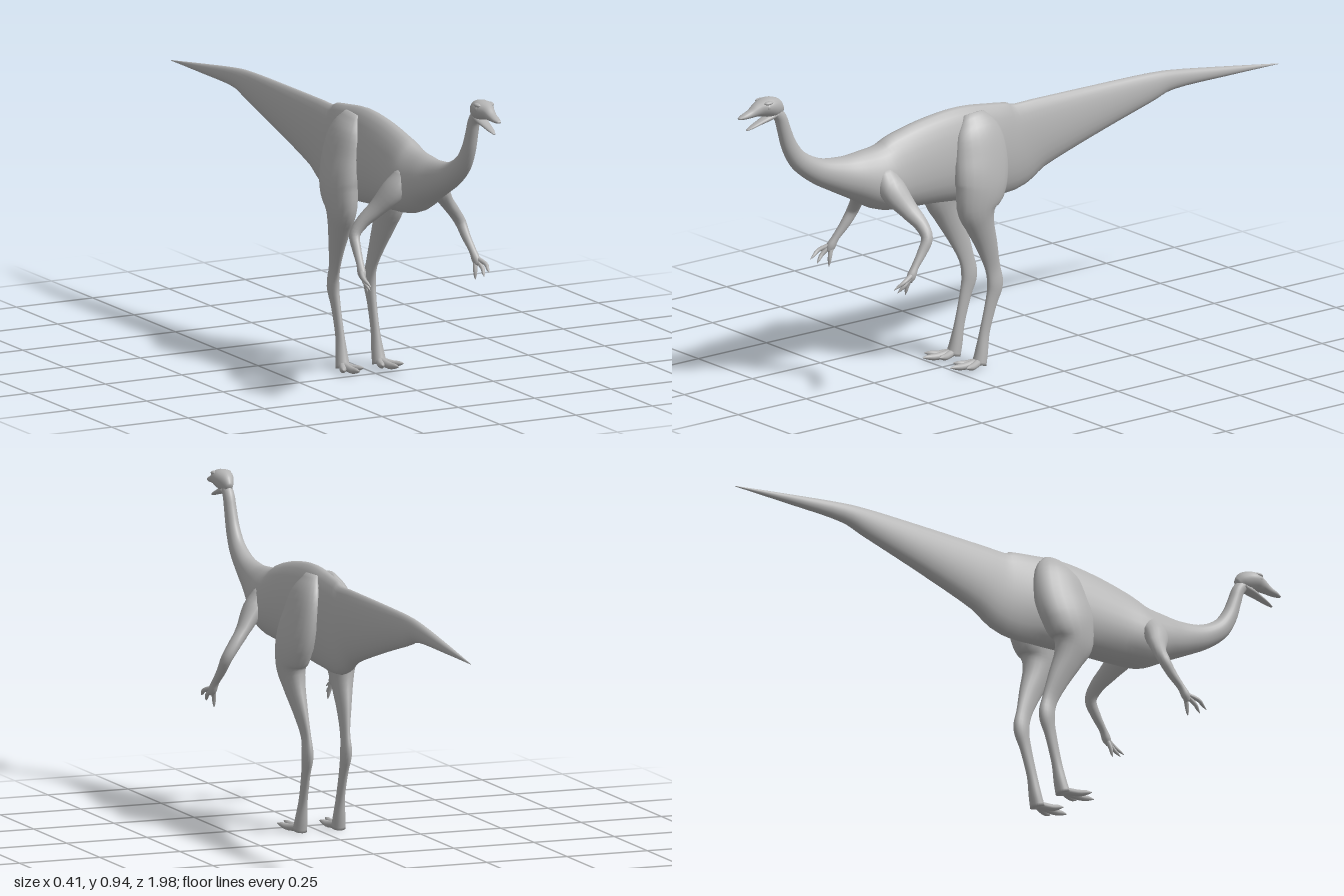
import * as THREE from 'three';

const skin = new THREE.MeshStandardMaterial({ color: 0xb4b4b4 });
skin.name = 'grey skin';

// Smooth body sweep. Each section is [x, y, z, half width, half depth, taper],
// where taper narrows the upper (or front) side of the ring.
function sweep(name, sections, sides = 20, steps = 4) {
  const path = new THREE.CatmullRomCurve3(
    sections.map(s => new THREE.Vector3(s[0], s[1], s[2])), false, 'catmullrom', 0.5);
  const size = new THREE.CatmullRomCurve3(
    sections.map(s => new THREE.Vector3(s[3], s[4], s[5] ?? 0)), false, 'catmullrom', 0.5);
  const count = (sections.length - 1) * steps;
  const pos = [], index = [];
  for (let i = 0; i <= count; i++) {
    const t = i / count;
    const p = path.getPoint(t), r = size.getPoint(t), dir = path.getTangent(t);
    const side = new THREE.Vector3(1, 0, 0).addScaledVector(dir, -dir.x).normalize();
    const up = new THREE.Vector3().crossVectors(dir, side);
    for (let j = 0; j < sides; j++) {
      const a = (j / sides) * Math.PI * 2;
      const w = Math.max(r.x, 0.0005) * Math.cos(a) * (1 - r.z * Math.sin(a));
      const h = Math.max(r.y, 0.0005) * Math.sin(a);
      const v = p.clone().addScaledVector(side, w).addScaledVector(up, h);
      pos.push(v.x, v.y, v.z);
    }
    if (i === count) continue;
    for (let j = 0; j < sides; j++) {
      const a = i * sides + j, b = i * sides + (j + 1) % sides;
      index.push(a, b, b + sides, a, b + sides, a + sides);
    }
  }
  // close both ends
  for (const [t, ring] of [[0, 0], [1, count * sides]]) {
    const p = path.getPoint(t), c = pos.length / 3;
    pos.push(p.x, p.y, p.z);
    for (let j = 0; j < sides; j++) {
      const a = ring + j, b = ring + (j + 1) % sides;
      if (t === 0) index.push(c, b, a); else index.push(c, a, b);
    }
  }
  const geo = new THREE.BufferGeometry();
  geo.setAttribute('position', new THREE.Float32BufferAttribute(pos, 3));
  geo.setIndex(index);
  geo.computeVertexNormals();
  const mesh = new THREE.Mesh(geo, skin);
  mesh.name = name;
  return mesh;
}

function ball(name, x, y, z, rx, ry, rz) {
  const mesh = new THREE.Mesh(new THREE.SphereGeometry(1, 16, 12), skin);
  mesh.position.set(x, y, z);
  mesh.scale.set(rx, ry, rz);
  mesh.name = name;
  return mesh;
}

// Tapering toe or finger with a pointed claw
function digit(name, from, mid, tip, r) {
  return sweep(name, [
    [...from, r, r], [...mid, r * 0.85, r * 0.85],
    [...mid.map((m, i) => m + (tip[i] - m) * 0.6), r * 0.6, r * 0.6],
    [...tip, 0.0008, 0.0008],
  ], 10, 3);
}

function makeHead() {
  const head = new THREE.Group();
  head.name = 'head';
  head.add(sweep('skull', [
    [0, 0.888, 0.842, 0.010, 0.014],
    [0, 0.900, 0.862, 0.022, 0.027],
    [0, 0.907, 0.885, 0.030, 0.030, -0.12],
    [0, 0.909, 0.908, 0.030, 0.027, -0.15],
    [0, 0.907, 0.930, 0.021, 0.021],
    [0, 0.899, 0.955, 0.015, 0.013],
    [0, 0.894, 0.980, 0.012, 0.008],
    [0, 0.891, 0.998, 0.005, 0.003],
  ]));
  head.add(sweep('lowerJaw', [
    [0, 0.884, 0.862, 0.017, 0.012],
    [0, 0.876, 0.890, 0.018, 0.010],
    [0, 0.867, 0.920, 0.014, 0.007],
    [0, 0.858, 0.948, 0.010, 0.005],
    [0, 0.851, 0.968, 0.004, 0.002],
  ], 14));
  for (const s of [1, -1]) {
    head.add(ball('eye', s * 0.025, 0.914, 0.906, 0.006, 0.008, 0.009));
    head.add(ball('brow', s * 0.021, 0.926, 0.904, 0.009, 0.006, 0.016));
  }
  return head;
}

function makeLeg(s) {
  const leg = new THREE.Group();
  leg.name = s > 0 ? 'leftLeg' : 'rightLeg';
  leg.add(sweep('thighAndShin', [
    [s * 0.025, 0.755, 0.155, 0.012, 0.035],
    [s * 0.044, 0.700, 0.152, 0.034, 0.078],
    [s * 0.060, 0.620, 0.155, 0.045, 0.094],
    [s * 0.075, 0.550, 0.168, 0.045, 0.090],
    [s * 0.078, 0.490, 0.184, 0.040, 0.068],
    [s * 0.075, 0.435, 0.170, 0.031, 0.048],
    [s * 0.068, 0.360, 0.138, 0.019, 0.035],
    [s * 0.061, 0.290, 0.113, 0.012, 0.026],
    [s * 0.060, 0.235, 0.103, 0.015, 0.027],
    [s * 0.059, 0.180, 0.118, 0.012, 0.020],
    [s * 0.058, 0.100, 0.140, 0.012, 0.017],
    [s * 0.059, 0.040, 0.153, 0.018, 0.020],
    [s * 0.060, 0.006, 0.162, 0.021, 0.022],
  ]));
  // three spreading toes
  for (const [mx, mz, tx, tz] of [[0.045, 0.20, 0.031, 0.235], [0.062, 0.22, 0.064, 0.272], [0.08, 0.20, 0.099, 0.238]])
    leg.add(digit('toe', [s * 0.06, 0.015, 0.16], [s * mx, 0.011, mz], [s * tx, 0.017, tz], 0.012));
  return leg;
}

function makeArm(s) {
  const arm = new THREE.Group();
  arm.name = s > 0 ? 'leftArm' : 'rightArm';
  arm.add(sweep('shoulderAndForearm', [
    [s * 0.040, 0.650, 0.495, 0.020, 0.030],
    [s * 0.070, 0.600, 0.490, 0.030, 0.042],
    [s * 0.112, 0.545, 0.465, 0.021, 0.030],
    [s * 0.148, 0.505, 0.446, 0.018, 0.022],
    [s * 0.173, 0.468, 0.443, 0.016, 0.018],
    [s * 0.179, 0.430, 0.466, 0.013, 0.015],
    [s * 0.184, 0.395, 0.495, 0.011, 0.011],
    [s * 0.187, 0.370, 0.511, 0.012, 0.014],
    [s * 0.187, 0.354, 0.520, 0.007, 0.009],
  ], 16));
  // three grasping fingers
  const fingers = [
    [[0.180, 0.343, 0.520], [0.177, 0.314, 0.526]],
    [[0.193, 0.350, 0.538], [0.187, 0.328, 0.562]],
    [[0.200, 0.362, 0.545], [0.194, 0.342, 0.580]],
  ];
  for (const [m, t] of fingers)
    arm.add(digit('finger', [s * 0.187, 0.375, 0.508], [s * m[0], m[1], m[2]], [s * t[0], t[1], t[2]], 0.0075));
  return arm;
}

export function createModel() {
  const model = new THREE.Group();
  model.name = 'longNeckedDinosaur';

  // tail, trunk and neck in one sweep from tail tip to skull
  model.add(sweep('tailTrunkAndNeck', [
    [0, 0.678, -0.985, 0.001, 0.001],
    [0, 0.692, -0.80, 0.011, 0.014],
    [0, 0.705, -0.60, 0.018, 0.029, 0.05],
    [0, 0.696, -0.50, 0.022, 0.046, 0.1],
    [0, 0.670, -0.30, 0.029, 0.075, 0.15],
    [0, 0.640, -0.10, 0.035, 0.107, 0.15],
    [0, 0.618, 0.00, 0.040, 0.134, 0.15],
    [0, 0.626, 0.10, 0.052, 0.139, 0.2],
    [0, 0.635, 0.20, 0.060, 0.140, 0.25],
    [0, 0.635, 0.30, 0.063, 0.131, 0.25],
    [0, 0.628, 0.40, 0.067, 0.118, 0.25],
    [0, 0.622, 0.48, 0.072, 0.101, 0.25],
    [0, 0.637, 0.56, 0.060, 0.074, 0.2],
    [0, 0.653, 0.63, 0.044, 0.054, 0.1],
    [0, 0.680, 0.71, 0.031, 0.038],
    [0, 0.722, 0.775, 0.024, 0.030],
    [0, 0.772, 0.811, 0.020, 0.025],
    [0, 0.825, 0.831, 0.018, 0.021],
    [0, 0.868, 0.846, 0.017, 0.019],
    [0, 0.895, 0.872, 0.015, 0.017],
  ], 24));

  model.add(makeHead());
  for (const s of [1, -1]) model.add(makeLeg(s), makeArm(s));
  return model;
}
